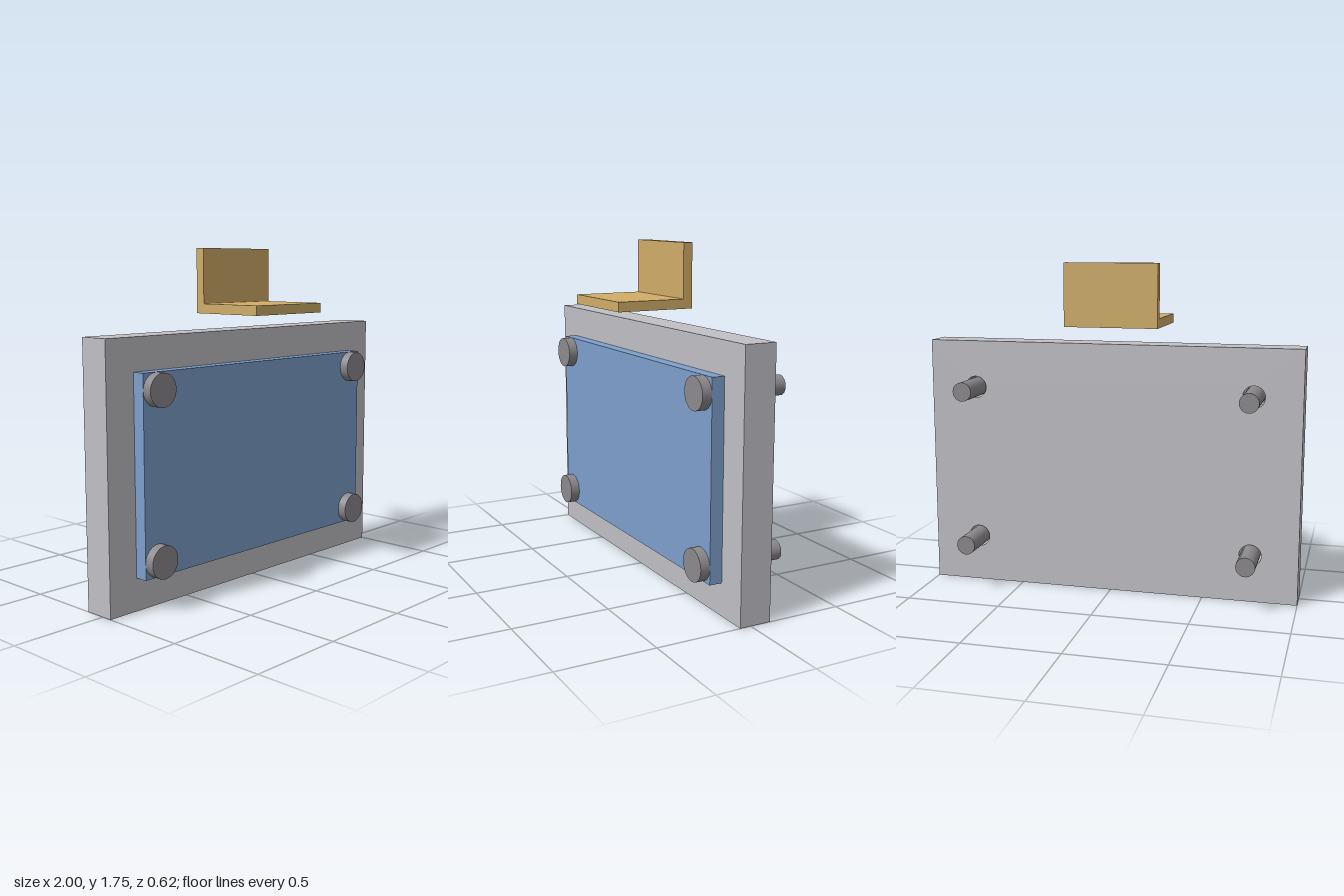
import * as THREE from 'three';

const BOLT_X = 0.75, BOLT_Y = [0.25, 1.083];
const HOLE_R = 0.058, SHANK_R = 0.05, HEAD_R = 0.083;
const Z_BACK = -0.108, Z_FACE = 0.058, Z_PANEL = 0.125, Z_HEAD = 0.175, Z_TIP = -0.308;

const material = (color) => new THREE.MeshStandardMaterial({ color });

function addMesh(parent, name, geometry, mat) {
  const mesh = new THREE.Mesh(geometry, mat);
  mesh.name = name;
  parent.add(mesh);
  return mesh;
}

// Rectangular plate with four bolt holes, spanning z0 to z1
function drilledPlate(halfWidth, y0, y1, z0, z1) {
  const shape = new THREE.Shape([
    new THREE.Vector2(-halfWidth, y0), new THREE.Vector2(halfWidth, y0),
    new THREE.Vector2(halfWidth, y1), new THREE.Vector2(-halfWidth, y1),
  ]);
  for (const x of [-BOLT_X, BOLT_X]) for (const y of BOLT_Y) {
    shape.holes.push(new THREE.Path().absarc(x, y, HOLE_R, 0, Math.PI * 2, true));
  }
  return new THREE.ExtrudeGeometry(shape, { depth: z1 - z0, bevelEnabled: false, curveSegments: 24 })
    .translate(0, 0, z0);
}

// Cylinder along z from z0 to z1
function rod(radius, z0, z1) {
  return new THREE.CylinderGeometry(radius, radius, z1 - z0, 48)
    .rotateX(Math.PI / 2).translate(0, 0, (z0 + z1) / 2);
}

export function createModel() {
  const model = new THREE.Group();
  model.name = 'boltedPlateAssembly';
  const steel = material(0x8c898c);

  // Thick base plate and the thinner panel on its face
  addMesh(model, 'basePlate', drilledPlate(1, 0, 1.333, Z_BACK, Z_FACE), material(0xc0c0c5));
  addMesh(model, 'frontPanel', drilledPlate(0.833, 0.167, 1.167, Z_FACE, Z_PANEL), material(0x7d9fcc));

  // Corner bolts passing through both plates
  const headGeometry = rod(HEAD_R, Z_PANEL, Z_HEAD);
  const shankGeometry = rod(SHANK_R, Z_TIP, Z_PANEL);
  for (const x of [-BOLT_X, BOLT_X]) for (const y of BOLT_Y) {
    const bolt = new THREE.Group();
    bolt.name = 'bolt';
    bolt.position.set(x, y, 0);
    addMesh(bolt, 'boltHead', headGeometry, steel);
    addMesh(bolt, 'boltShank', shankGeometry, steel);
    model.add(bolt);
  }

  // L-shaped bracket above: profile in (z, y), extruded across x
  const profile = new THREE.Shape([
    [-0.308, 1.417], [0.108, 1.417], [0.108, 1.75],
    [0.058, 1.75], [0.058, 1.467], [-0.308, 1.467],
  ].map(([u, y]) => new THREE.Vector2(u, y)));
  const bracket = new THREE.ExtrudeGeometry(profile, { depth: 0.5, bevelEnabled: false })
    .translate(0, 0, -0.25).rotateY(Math.PI / 2);
  addMesh(model, 'angleBracket', bracket, material(0xd0ad68));

  return model;
}
